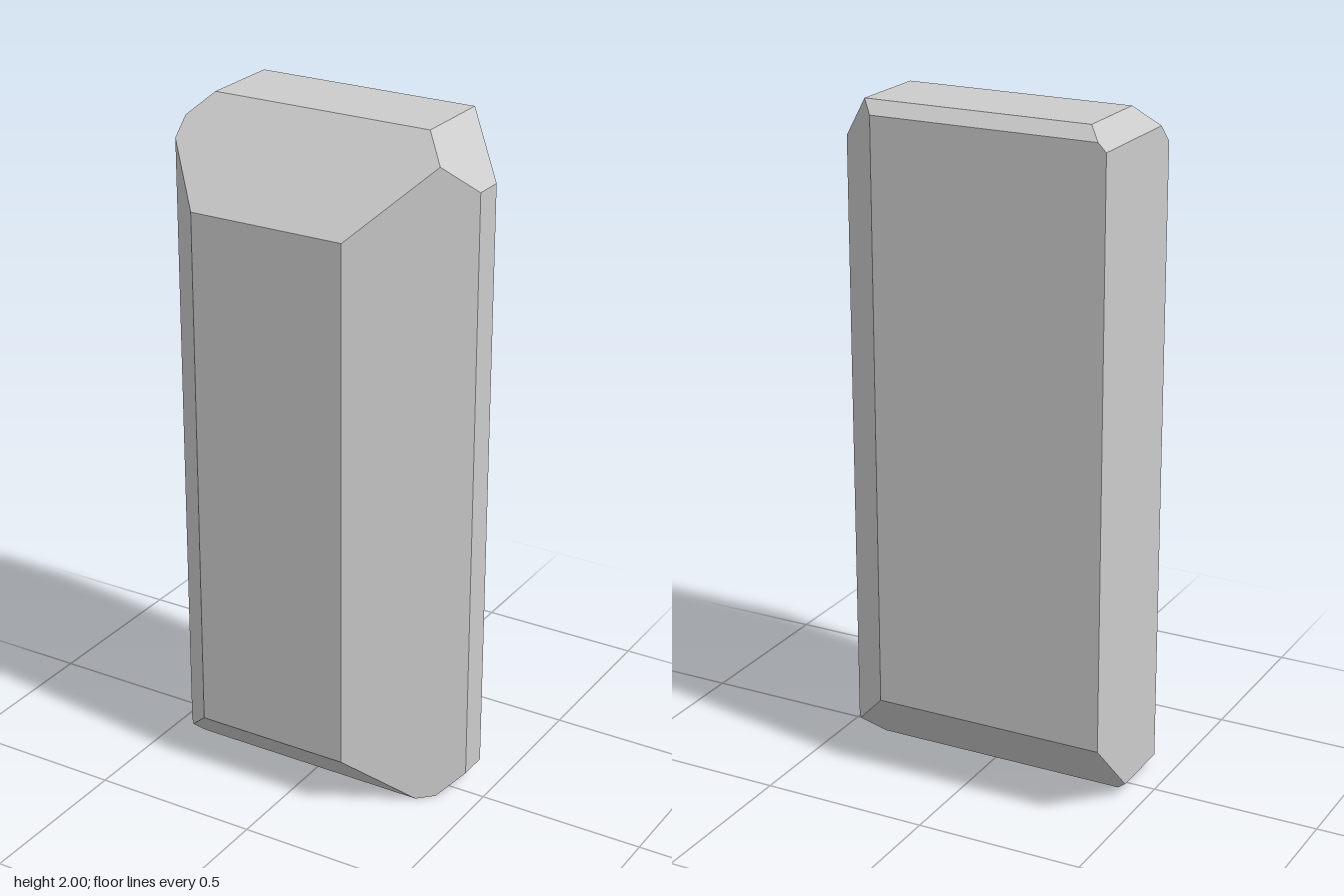
import * as THREE from 'three';

// Half sizes of the block; it stands on y = 0 and is 2 high.
const W = 0.442, H = 2, D = 0.27;

// Each facet: direction (nx, ny, nz) and limit d, keeping n . p <= d.
const FACETS = [
  // flat sides
  [1, 0, 0, W], [-1, 0, 0, W],
  [0, 1, 0, H], [0, -1, 0, 0],
  [0, 0, 1, D], [0, 0, -1, D],
  // upright bevels (the back left edge stays sharp)
  [1, 0, 1, 0.446], [-1, 0, 1, 0.567], [1, 0, -1, 0.527],
  // top bevels: front, back, left-hand, right-hand
  [0, 1, 1, 2.013], [0, 1, -1, 2.234], [1, 1, 0, 2.293], [-1, 1, 0, 2.382],
  // bottom bevels
  [0, -1, 1, 0.111], [0, -1, -1, 0.039], [1, -1, 0, 0.378], [-1, -1, 0, 0.402],
];

// Builds the convex solid enclosed by a list of planes, one flat polygon per plane.
function facetedSolid(facets) {
  const planes = facets.map(([x, y, z, d]) => ({ n: new THREE.Vector3(x, y, z), d }));
  const corners = [];
  const cross = (a, b) => new THREE.Vector3().crossVectors(a.n, b.n);

  // Corners: points where three planes meet inside all the others.
  for (let i = 0; i < planes.length; i++)
    for (let j = i + 1; j < planes.length; j++)
      for (let k = j + 1; k < planes.length; k++) {
        const [a, b, c] = [planes[i], planes[j], planes[k]];
        const det = a.n.dot(cross(b, c));
        if (Math.abs(det) < 1e-6) continue;
        const p = cross(b, c).multiplyScalar(a.d)
          .addScaledVector(cross(c, a), b.d)
          .addScaledVector(cross(a, b), c.d)
          .divideScalar(det);
        const inside = planes.every((q) => q.n.dot(p) <= q.d + 1e-6);
        if (inside && !corners.some((q) => q.distanceTo(p) < 1e-5)) corners.push(p);
      }

  // Facets: corners lying on a plane, sorted counter-clockwise and fanned.
  const positions = [];
  for (const { n, d } of planes) {
    const ring = corners.filter((p) => Math.abs(n.dot(p) - d) < 1e-5);
    if (ring.length < 3) continue;
    const centre = ring.reduce((s, p) => s.add(p), new THREE.Vector3()).divideScalar(ring.length);
    const u = ring[0].clone().sub(centre).normalize();
    const v = n.clone().normalize().cross(u);
    const angle = (p) => {
      const r = p.clone().sub(centre);
      return Math.atan2(r.dot(v), r.dot(u));
    };
    ring.sort((p, q) => angle(p) - angle(q));
    for (let i = 1; i < ring.length - 1; i++)
      for (const p of [ring[0], ring[i], ring[i + 1]]) positions.push(p.x, p.y, p.z);
  }

  const geometry = new THREE.BufferGeometry();
  geometry.setAttribute('position', new THREE.Float32BufferAttribute(positions, 3));
  geometry.computeVertexNormals();
  return geometry;
}

export function createModel() {
  const group = new THREE.Group();
  group.name = 'bevelledStone';
  const material = new THREE.MeshStandardMaterial({ color: 0xcccccc, flatShading: true });
  const stone = new THREE.Mesh(facetedSolid(FACETS), material);
  stone.name = 'stone';
  group.add(stone);
  return group;
}
